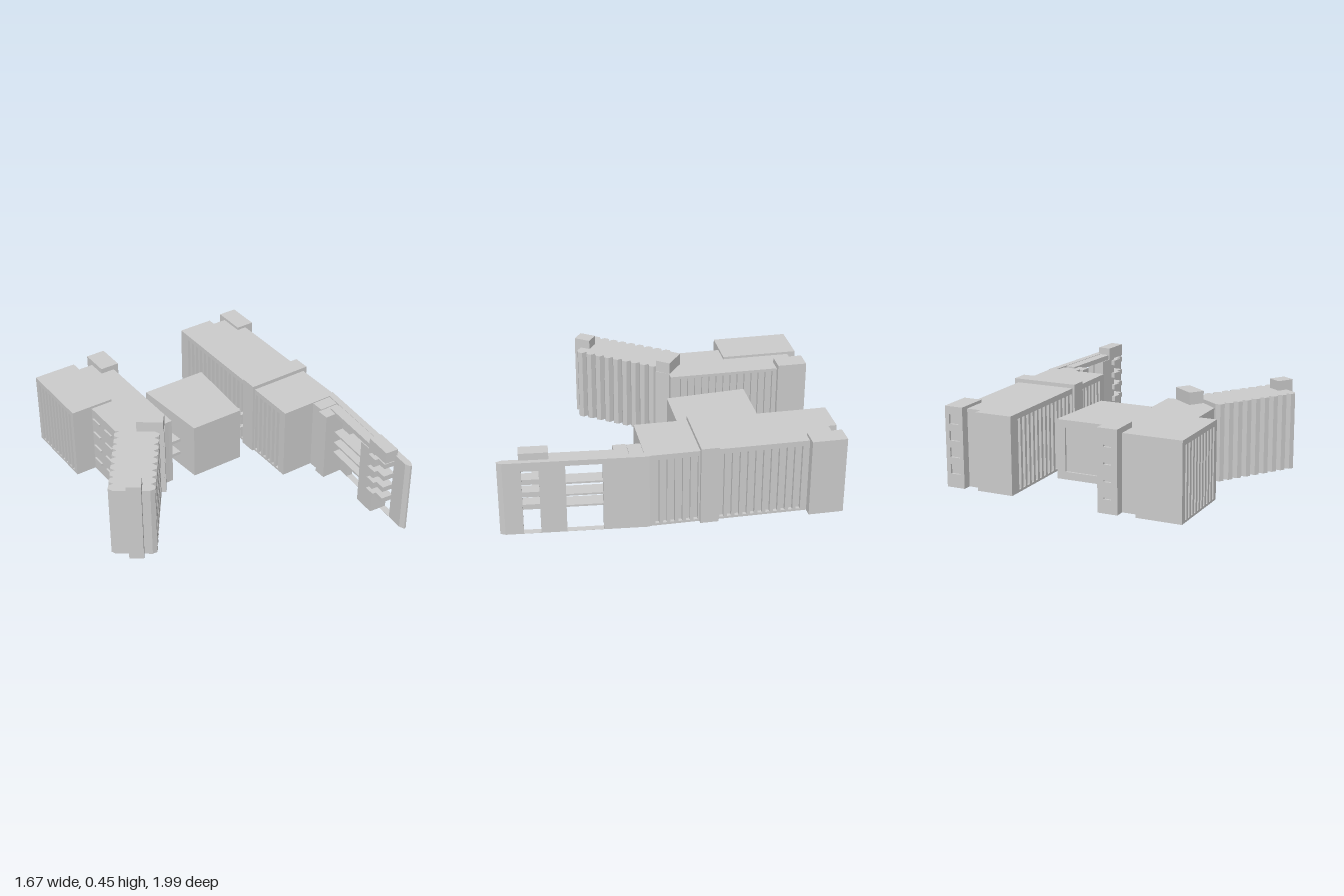
import * as THREE from 'three';

const material = new THREE.MeshStandardMaterial({ color: 0xcccccc, flatShading: true });

function add(parent, name, geometry) {
  const mesh = new THREE.Mesh(geometry, material);
  mesh.name = name;
  parent.add(mesh);
  return mesh;
}

// Box given by its limits on each axis
function box(parent, name, x0, x1, y0, y1, z0, z1) {
  const g = new THREE.BoxGeometry(x1 - x0, y1 - y0, z1 - z0);
  g.translate((x0 + x1) / 2, (y0 + y1) / 2, (z0 + z1) / 2);
  return add(parent, name, g);
}

// Vertical prism over a ground plan of [x, z] points
function prism(parent, name, plan, y0, y1) {
  const shape = new THREE.Shape(plan.map(([x, z]) => new THREE.Vector2(x, -z)));
  const g = new THREE.ExtrudeGeometry(shape, { depth: y1 - y0, bevelEnabled: false });
  g.rotateX(-Math.PI / 2).translate(0, y0, 0);
  return add(parent, name, g);
}

function rect(path, x0, x1, y0, y1) {
  return path.moveTo(x0, y0).lineTo(x1, y0).lineTo(x1, y1).lineTo(x0, y1).lineTo(x0, y0);
}

// Upright plate in the xy plane with rectangular openings [x0, x1, y0, y1]
function plate(parent, name, outline, openings, depth) {
  const shape = rect(new THREE.Shape(), ...outline);
  for (const o of openings) shape.holes.push(rect(new THREE.Path(), ...o));
  return add(parent, name, new THREE.ExtrudeGeometry(shape, { depth, bevelEnabled: false }));
}

// Fins between a sill and a lintel, standing in front of a recessed wall
function finFacade(parent, xIn, xOut, z0, z1, bays, top) {
  const facade = new THREE.Group();
  facade.name = 'finFacade';
  const [a, b] = [Math.min(xIn, xOut), Math.max(xIn, xOut)];
  box(facade, 'sill', a, b, 0, 0.012, z0, z1);
  box(facade, 'lintel', a, b, 0.372, top, z0, z1);
  const pitch = (z1 - z0) / bays;
  for (let i = 0; i <= bays; i++) {
    const z = z0 + i * pitch;
    box(facade, 'fin', a, b, 0.012, 0.372, Math.max(z0, z - 0.009), Math.min(z1, z + 0.009));
  }
  parent.add(facade);
}

function group(parent, name, degrees, x = 0, z = 0) {
  const g = new THREE.Group();
  g.name = name;
  g.rotation.y = THREE.MathUtils.degToRad(degrees);
  g.position.set(x, 0, z);
  parent.add(g);
  return g;
}

// Stair tower with four openings in its back plate
function stairTower(parent, x0, x1, z0, z1, openingW, openingH) {
  const mid = (x0 + x1) / 2;
  box(parent, 'stairTower', x0, x1, 0, 0.415, z0 + 0.012, z1);
  const openings = [0.07, 0.155, 0.24, 0.325].map(y =>
    [mid - openingW / 2, mid + openingW / 2, y, y + openingH]);
  plate(parent, 'towerWindows', [x0, x1, 0, 0.415], openings, 0.012).position.z = z0;
}

function buildEastWing(parent) {
  const w = group(parent, 'eastWing', -15);
  box(w, 'core', 0.282, 0.565, 0, 0.4, -0.787, 0.17);
  box(w, 'backBlock', 0.262, 0.457, 0, 0.4, -0.83, -0.787);
  box(w, 'cornerPost', 0.262, 0.282, 0, 0.4, -0.787, -0.77);
  box(w, 'sidePost', 0.565, 0.585, 0, 0.4, -0.787, -0.63);
  finFacade(w, 0.282, 0.262, -0.77, -0.195, 14, 0.4);
  finFacade(w, 0.282, 0.262, -0.103, 0.13, 6, 0.4);
  finFacade(w, 0.565, 0.585, -0.63, -0.195, 11, 0.4);
  finFacade(w, 0.565, 0.585, -0.103, 0.13, 6, 0.4);
  box(w, 'frontPost', 0.262, 0.282, 0, 0.4, 0.13, 0.17);
  box(w, 'frontPost', 0.565, 0.585, 0, 0.4, 0.13, 0.17);
  box(w, 'crossBand', 0.25, 0.606, 0, 0.42, -0.195, -0.103);
  stairTower(w, 0.532, 0.631, -0.833, -0.654, 0.055, 0.05);
  // stepped blocks at the front end
  box(w, 'steppedBlock', 0.445, 0.58, 0, 0.395, 0.17, 0.24);
  box(w, 'steppedBlock', 0.428, 0.565, 0, 0.39, 0.24, 0.307);
}

function buildScreenWall(parent) {
  const w = group(parent, 'screenWall', -19.9, 0.525, 0.316);
  const wall = plate(w, 'openWall', [-0.02, 0.69, 0, 0.4],
    [[0.206, 0.387, 0.001, 0.372], [0.515, 0.6, 0.001, 0.372]], 0.035);
  wall.rotation.y = -Math.PI / 2;
  prism(w, 'wallTip', [[-0.035, 0.69], [0, 0.69], [-0.012, 0.716], [-0.022, 0.716]], 0, 0.4);
  box(w, 'roofStrip', -0.09, -0.03, 0.372, 0.398, 0.1, 0.47);
  for (const y of [0.14, 0.203, 0.27]) box(w, 'gallery', -0.09, -0.01, y - 0.005, y + 0.005, 0.1, 0.42);
  box(w, 'pier', -0.095, -0.034, 0, 0.372, 0.395, 0.515);
  box(w, 'roofCap', -0.095, -0.025, 0.372, 0.437, 0.465, 0.61);
  for (const y of [0.12, 0.19, 0.26, 0.335]) {
    box(w, 'balcony', -0.095, -0.03, y, y + 0.028, 0.515, 0.605);
    box(w, 'balconyLedge', -0.115, -0.095, y, y + 0.028, 0.49, 0.55);
  }
}

function buildWestWing(parent) {
  const w = group(parent, 'westWing', -15);
  const roof = 0.387;
  prism(w, 'core', [[-0.54, -0.82], [-0.272, -0.82], [-0.272, -0.124], [-0.296, -0.123],
    [-0.338, -0.057], [-0.454, -0.141], [-0.54, -0.211]], 0, roof);
  box(w, 'backBlock', -0.632, -0.418, 0, 0.4, -0.863, -0.454);
  box(w, 'cornerPost', -0.652, -0.632, 0, 0.4, -0.863, -0.84);
  box(w, 'cornerPost', -0.652, -0.632, 0, 0.4, -0.475, -0.454);
  finFacade(w, -0.632, -0.652, -0.84, -0.475, 10, 0.4);
  box(w, 'sidePost', -0.272, -0.252, 0, roof, -0.82, -0.7);
  finFacade(w, -0.272, -0.252, -0.7, -0.15, 14, roof);
  box(w, 'sidePost', -0.272, -0.252, 0, roof, -0.15, -0.124);
  stairTower(w, -0.328, -0.224, -0.872, -0.715, 0.04, 0.01);
  // window ledges on the outer side
  for (const z of [-0.4, -0.28])
    for (const y of [0.07, 0.155, 0.24, 0.325])
      box(w, 'windowLedge', -0.55, -0.538, y, y + 0.012, z - 0.035, z + 0.035);
}

function buildRibbedWing(parent) {
  // runs along local z, starting at the joint with the west wing
  const w = group(parent, 'ribbedWing', -49.5, -0.43, -0.225);
  const pitch = 0.0542;
  for (let i = 0; i < 9; i++) {
    const z = i * pitch;
    const h = pitch / 2;
    prism(w, 'rib', [[-0.092, z - h], [0.092, z - h], [0.115, z - 0.013], [0.115, z + 0.013],
      [0.092, z + h], [-0.092, z + h], [-0.115, z + 0.013], [-0.115, z - 0.013]], 0, 0.4);
  }
  const end = group(parent, 'endTower', -49.5, -0.765, 0.079);
  box(end, 'endTowerShaft', -0.037, 0.037, 0, 0.45, -0.045, 0.045);
  const joint = group(parent, 'jointTower', -51.5, -0.327, -0.226);
  box(joint, 'jointTowerShaft', -0.069, 0.069, 0, 0.45, -0.041, 0.041);
}

function buildHall(parent) {
  const h = group(parent, 'centralHall', -15);
  prism(h, 'hallBody', [[-0.173, -0.497], [0.185, -0.497], [0.153, -0.081], [-0.142, -0.081]], 0.01, 0.32);
  plate(h, 'backFrame', [-0.174, 0.186, 0.01, 0.32], [[-0.13, 0.14, 0.05, 0.28]], 0.012).position.z = -0.509;
  // two-level bridges to both wings
  for (const [x0, x1] of [[-0.262, -0.145], [0.155, 0.275]])
    for (const y of [0.082, 0.165]) box(h, 'bridge', x0, x1, y, y + 0.016, -0.273, -0.205);
}

export function createModel() {
  const model = new THREE.Group();
  model.name = 'building';
  buildEastWing(model);
  buildScreenWall(model);
  buildWestWing(model);
  buildRibbedWing(model);
  buildHall(model);
  return model;
}
